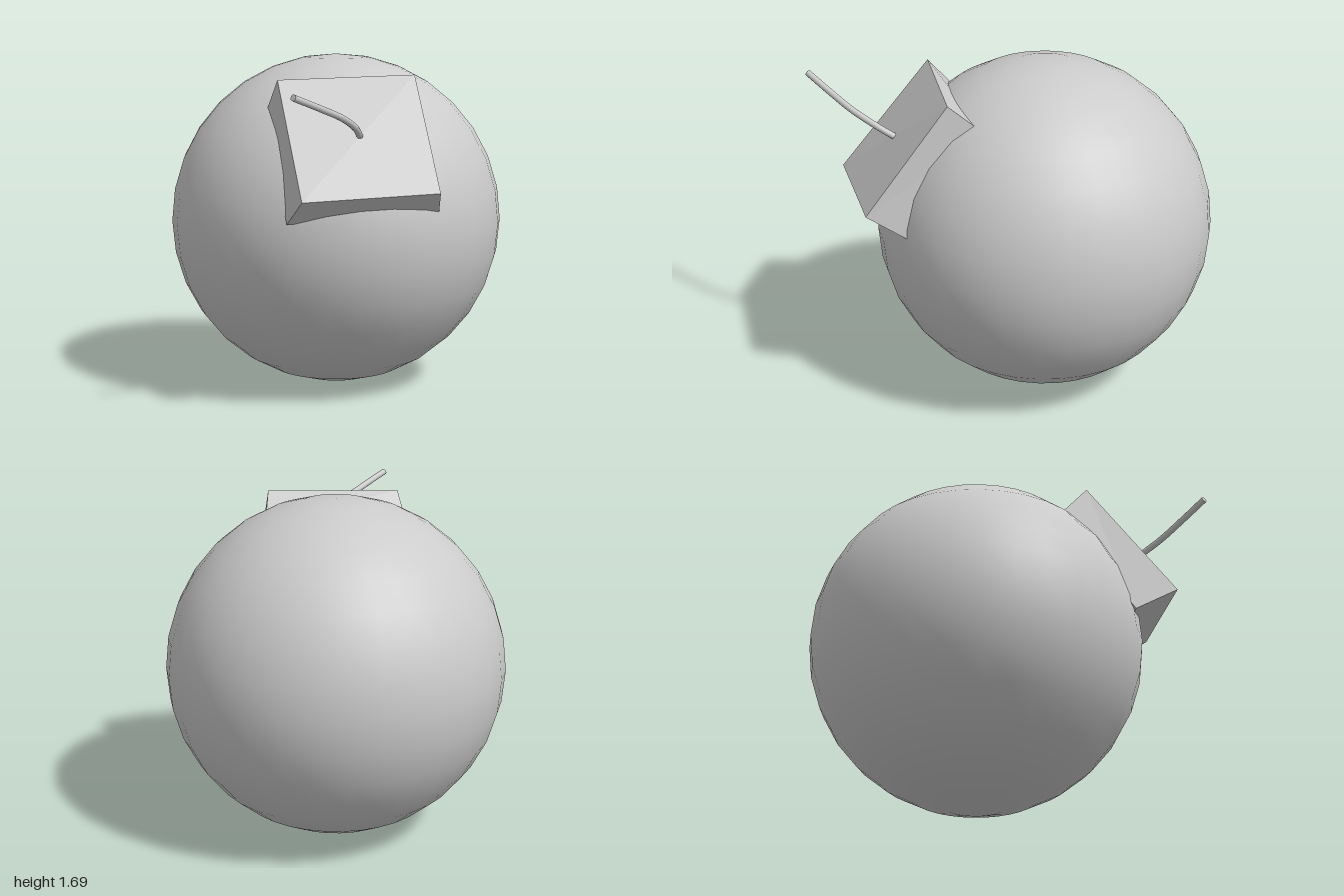
import * as THREE from 'three';

const V = (x, y, z) => new THREE.Vector3(x, y, z);

export function createModel() {
  const group = new THREE.Group();
  const smooth = new THREE.MeshStandardMaterial({ color: 0xcccccc });
  const flat = new THREE.MeshStandardMaterial({ color: 0xcccccc, flatShading: true });

  const add = (name, geometry, material) => {
    const mesh = new THREE.Mesh(geometry, material);
    mesh.name = name;
    group.add(mesh);
    return mesh;
  };

  // Round body
  add('body', new THREE.SphereGeometry(0.845, 32, 16), smooth).position.set(0, 0.845, -0.155);

  // Tilted block: outer corners, and where each edge meets the body
  const corners = {
    '-+': [V(-0.36, 1.595, 0.39), V(-0.39, 1.475, 0.29)],
    '++': [V(0.31, 1.612, 0.36), V(0.325, 1.52, 0.245)],
    '+-': [V(0.36, 1.086, 0.766), V(0.385, 0.997, 0.617)],
    '--': [V(-0.3, 1.066, 0.842), V(-0.33, 0.978, 0.697)],
  };
  const block = new THREE.BoxGeometry(2, 2, 2);
  const pos = block.attributes.position;
  const p = V(0, 0, 0);
  for (let i = 0; i < pos.count; i++) {
    const key = (pos.getX(i) > 0 ? '+' : '-') + (pos.getY(i) > 0 ? '+' : '-');
    const [outer, inner] = corners[key];
    // The inner end is sunk past the body's surface
    p.lerpVectors(outer, inner, pos.getZ(i) > 0 ? 0 : 1.5);
    pos.setXYZ(i, p.x, p.y, p.z);
  }
  block.computeVertexNormals();
  add('block', block, flat);

  // Curved rod rising from the block's face
  const radius = 0.016;
  const path = new THREE.CatmullRomCurve3([
    V(0.012, 1.32, 0.555), V(0.006, 1.34, 0.59), V(-0.03, 1.39, 0.68),
    V(-0.11, 1.447, 0.79), V(-0.22, 1.498, 0.885), V(-0.355, 1.557, 0.992),
  ]);
  add('rod', new THREE.TubeGeometry(path, 24, radius, 10), smooth);

  // Flat cap on the rod's free end
  const tip = add('rodTip', new THREE.CircleGeometry(radius, 10), flat);
  tip.position.copy(path.getPoint(1));
  tip.quaternion.setFromUnitVectors(V(0, 0, 1), path.getTangent(1));

  return group;
}
